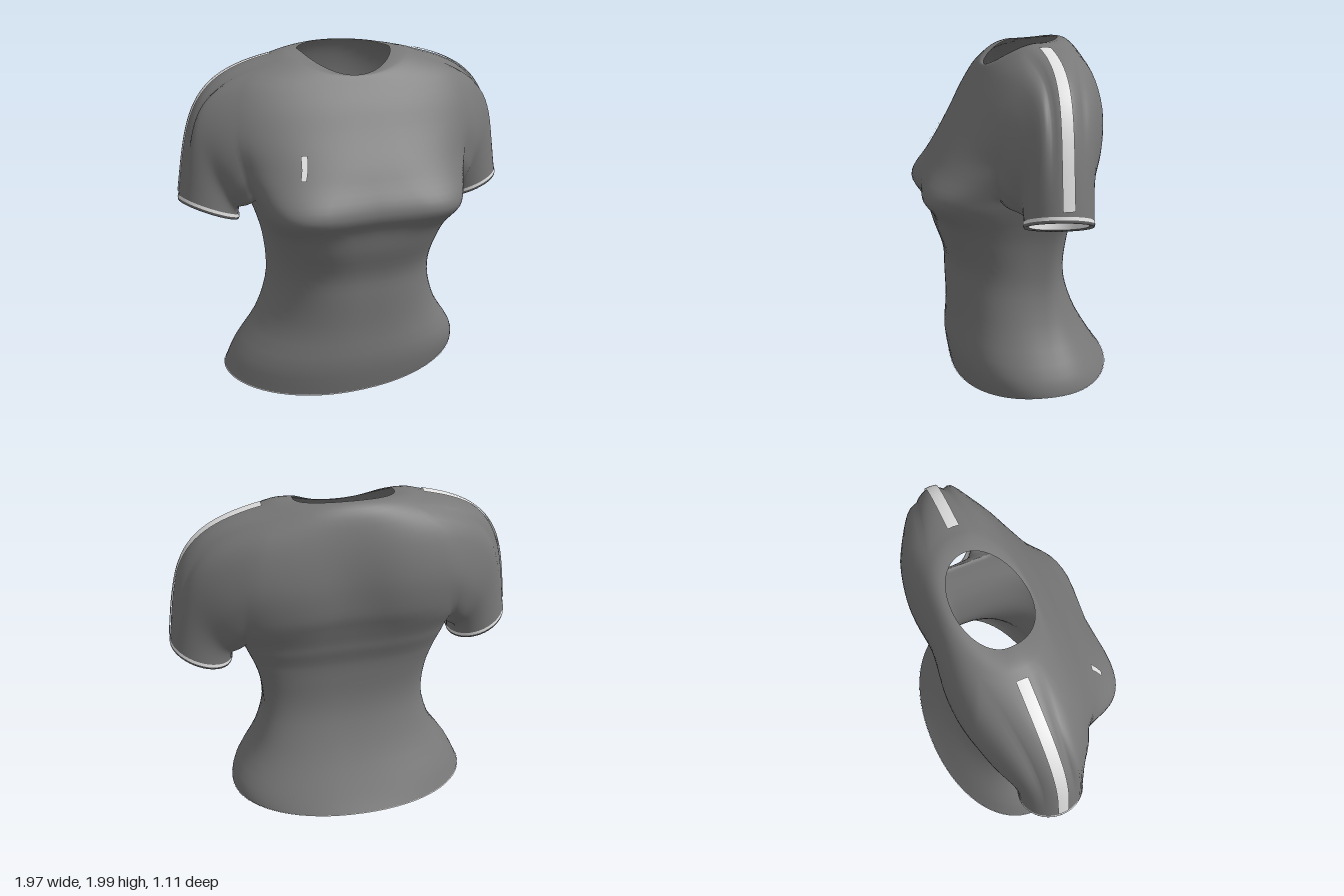
import * as THREE from 'three';
import { mergeGeometries, mergeVertices } from 'three/addons/utils/BufferGeometryUtils.js';

const V = (x, y, z) => new THREE.Vector3(x, y, z);

// Torso sections: [front y, side y, back y, half width, front z, back z, roundness, column spread]
const SECTIONS = [
  [0.01, 0.085, 0.10, 0.745, 0.37, -0.55, 0.95, 1],
  [0.20, 0.20, 0.20, 0.70, 0.40, -0.48, 0.90, 1],
  [0.40, 0.40, 0.40, 0.57, 0.39, -0.36, 0.85, 1],
  [0.60, 0.60, 0.60, 0.50, 0.395, -0.28, 0.80, 1],
  [0.75, 0.75, 0.75, 0.49, 0.40, -0.255, 0.75, 1],
  [0.90, 0.90, 0.90, 0.505, 0.45, -0.26, 0.65, 1],
  [1.00, 1.00, 1.00, 0.53, 0.48, -0.27, 0.57, 1],
  [1.06, 1.06, 1.06, 0.55, 0.51, -0.285, 0.49, 1.05],
  [1.13, 1.13, 1.13, 0.575, 0.56, -0.31, 0.44, 1.15],
  [1.20, 1.20, 1.20, 0.60, 0.55, -0.33, 0.46, 1.25],
  [1.30, 1.30, 1.30, 0.655, 0.48, -0.37, 0.58, 0.85],
  [1.40, 1.40, 1.40, 0.71, 0.42, -0.41, 0.70, 0.65],
  [1.55, 1.55, 1.55, 0.80, 0.33, -0.43, 0.80, 0.50],
  [1.68, 1.70, 1.68, 0.80, 0.26, -0.42, 0.85, 0.48],
  [1.78, 1.85, 1.81, 0.70, 0.20, -0.39, 0.90, 0.56],
  [1.83, 1.945, 1.93, 0.43, 0.17, -0.345, 0.88, 0.78],
  [1.84, 1.965, 1.985, 0.34, 0.16, -0.30, 0.95, 0.92],
  [1.84, 1.965, 1.995, 0.27, 0.15, -0.26, 1.00, 1],
];
const LAST = SECTIONS.length - 1, SUB = 3, N = 72;
const LOW = 9, HIGH = 15, KF = 3, KB = 6; // armhole limits in the torso grid

function section(t) {
  const i = Math.min(Math.floor(t), LAST - 1), f = t - i;
  const at = k => SECTIONS[Math.max(0, Math.min(LAST, k))];
  return at(i).map((b, k) => {
    const a = at(i - 1)[k], c = at(i + 1)[k], d = at(i + 2)[k];
    return b + 0.5 * f * (c - a + f * (2 * a - 5 * b + 4 * c - d + f * (3 * (b - c) + d - a)));
  });
}

// Point on the torso at section t and angle a (0 = left side, 90 degrees = front)
function torso(t, a) {
  const [yf, ys, yb, w, zf, zb, round] = section(t);
  const c = Math.cos(a), s = Math.sin(a), m = Math.abs(s), zs = -0.08;
  const e = s > 0 ? round : Math.max(round, 0.58);
  let x = Math.sign(c) * w * Math.abs(c) ** e;
  let y = ys + ((s > 0 ? yf : yb) - ys) * m ** 1.7;
  let z = zs + ((s > 0 ? zf : zb) - zs) * m ** e;
  // hollows between the chest sides and along the spine
  const mid = Math.exp(-((x / 0.2) ** 2)) * m;
  z += s > 0 ? -0.03 * mid * Math.exp(-(((y - 1.15) / 0.12) ** 2))
    : 0.04 * mid * Math.exp(-(((y - 1.5) / 0.3) ** 2));
  // uneven hem
  const hem = Math.max(0, 1 - t / 2) ** 2;
  y += 0.035 * x * hem;
  x -= 0.025 * hem;
  return V(x, y, z);
}

// Grid point; the columns spread away from the sides to shape the armhole
function torsoGrid(r, j) {
  const t = r / SUB, a = (j / N) * Math.PI * 2, h = Math.PI / 2;
  const c = Math.cos(a), s = Math.sin(a);
  const d = h * (Math.atan2(Math.abs(s), Math.abs(c)) / h) ** section(t)[7];
  return torso(t, Math.atan2(Math.sign(s) * Math.sin(d), Math.sign(c) * Math.cos(d)));
}

// Surface from a point function over a grid of quads
function grid(fn, rows, cols, { flip = false, skip = () => false } = {}) {
  const pos = [], idx = [];
  for (let r = 0; r <= rows; r++)
    for (let c = 0; c <= cols; c++) pos.push(...fn(r, c).toArray());
  for (let r = 0; r < rows; r++)
    for (let c = 0; c < cols; c++) {
      if (skip(r, c)) continue;
      const a = r * (cols + 1) + c, b = a + 1, d = a + cols + 1, e = d + 1;
      idx.push(...(flip ? [a, d, e, a, e, b] : [a, b, e, a, e, d]));
    }
  const g = new THREE.BufferGeometry();
  g.setAttribute('position', new THREE.Float32BufferAttribute(pos, 3));
  g.setIndex(idx);
  return g;
}
function smooth(parts) {
  const g = mergeVertices(mergeGeometries(parts), 1e-4);
  g.computeVertexNormals();
  return g;
}
const mirrored = (fn, side) => (r, c) => {
  const p = fn(r, c);
  p.x *= side;
  return p;
};

// Armhole outline: over the top, down the front, along the armpit, up the back
const loop = [];
for (let j = -KB; j < KF; j++) loop.push(torsoGrid(HIGH * SUB, j));
for (let r = HIGH * SUB; r > LOW * SUB; r--) loop.push(torsoGrid(r, KF));
for (let j = KF; j > -KB; j--) loop.push(torsoGrid(LOW * SUB, j));
for (let r = LOW * SUB; r < HIGH * SUB; r++) loop.push(torsoGrid(r, -KB));

// Cuff ring and sleeve direction
const DOWN = V(0.16, -0.985, 0);
const cuffPoint = (phi, k = 1, d = 0) => V(
  0.815 + 0.165 * k * Math.cos(phi),
  1.11 + k * (0.07 * Math.cos(phi) + 0.015 * Math.sin(phi)),
  -0.055 + 0.175 * k * Math.sin(phi)).addScaledVector(DOWN, d);

// Sleeve point: a curve leaving the armhole outward and reaching the cuff downward
function sleeve(v, i) {
  const p = loop[i % loop.length];
  const phi = Math.atan2((p.z + 0.08) / 0.27, (p.y - 1.57) / 0.37);
  const end = cuffPoint(phi), len = end.distanceTo(p);
  const out = V(0.95, -0.2 - 0.3 * (1 - Math.cos(phi)), -0.32 * Math.sin(phi)).normalize();
  return new THREE.CubicBezierCurve3(p, p.clone().addScaledVector(out, 0.5 * len),
    end.clone().addScaledVector(DOWN, -0.5 * len), end).getPoint(v);
}

export function createModel() {
  const mat = (name, color) => {
    const m = new THREE.MeshStandardMaterial({ color, side: THREE.DoubleSide });
    m.name = name;
    return m;
  };
  const cloth = mat('grey cloth', 0x787878), trim = mat('light trim', 0xe2e2e2);
  const group = new THREE.Group();
  group.name = 'shirt';
  const add = (name, parts, material) => {
    const mesh = new THREE.Mesh(smooth(parts), material);
    mesh.name = name;
    group.add(mesh);
  };

  // Body and both sleeves as one continuous cloth
  const inArmhole = (r, j) => {
    if (r < LOW * SUB || r >= HIGH * SUB) return false;
    return j < KF || j >= N - KB || (j >= N / 2 - KF && j < N / 2 + KB);
  };
  const parts = [grid(torsoGrid, LAST * SUB, N, { flip: true, skip: inArmhole })];
  const STEPS = 16;
  for (const side of [1, -1])
    parts.push(grid(mirrored((r, i) => sleeve(r / STEPS, i), side), STEPS, loop.length,
      { flip: side < 0 }));
  add('bodyAndSleeves', parts, cloth);

  // Hem edge
  add('hemTrim', [grid((r, j) => {
    const a = (j / N) * Math.PI * 2;
    return torso(r * 0.06, a).add(V(0.004 * Math.cos(a), 0, 0.004 * Math.sin(a)));
  }, 1, N, { flip: true })], trim);

  // Cuff bands, each a profile of [scale, distance along the sleeve]
  const bands = [
    ['CuffPiping', [[1.012, -0.02], [1.022, -0.003]], trim],
    ['CuffRim', [[1.022, -0.003], [1.0, 0.012], [0.87, 0.006]], cloth],
    ['CuffLining', [[0.87, 0.006], [0.88, -0.035]], trim],
  ];
  for (const side of [1, -1]) {
    const label = side > 0 ? 'left' : 'right';
    for (const [name, profile, material] of bands)
      add(label + name, [grid(mirrored((r, c) =>
        cuffPoint((c / 40) * Math.PI * 2, ...profile[r]), side), profile.length - 1, 40,
      { flip: side < 0 })], material);

    // Stripe from the shoulder down to the cuff
    add(label + 'Stripe', [grid(mirrored((r, c) => {
      const v = (r / 32) * 0.97, p = sleeve(v, KB);
      const t = sleeve(v + 0.02, KB).sub(p).normalize();
      const across = c - 1;
      return p.add(V(-t.y, t.x, 0).multiplyScalar(0.008 - 0.003 * across * across))
        .add(V(0, 0, 0.031 * across));
    }, side), 32, 2, { flip: side < 0 })], trim);
  }

  // Small slanted dash on the chest
  add('chestDash', [grid((r, c) => {
    const f = r / 6;
    const a = THREE.MathUtils.degToRad(116.4 - 2.4 * f - 1.5 * c);
    return torso(10.5 + 0.95 * f, a).add(V(0, 0.003, 0.008));
  }, 6, 2)], trim);

  return group;
}
